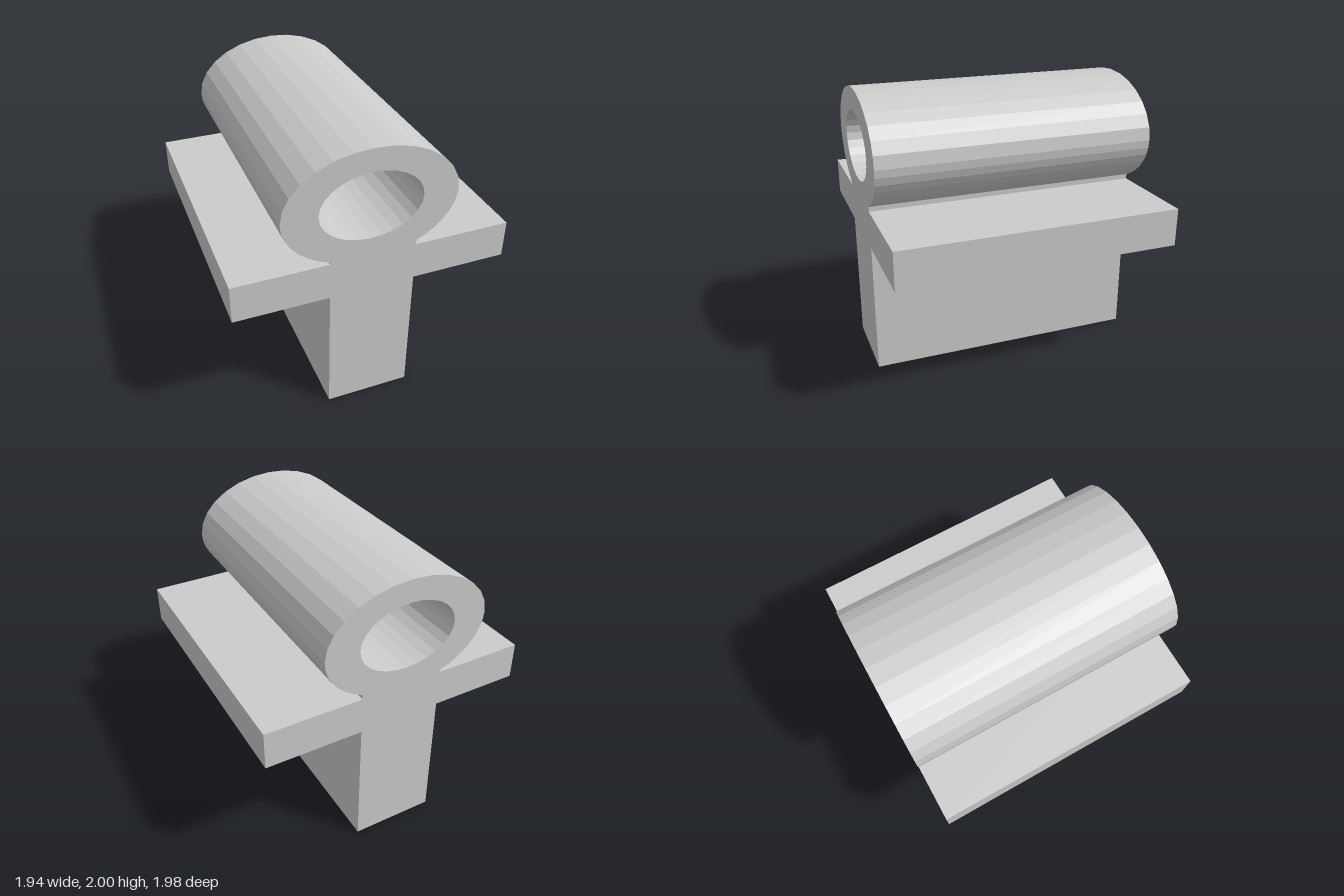
import * as THREE from 'three';

const DEPTH = 1.98;
const STEPS = 7; // straight facets per arc

// Points along an elliptical arc, angles in radians
function arc(cx, cy, rx, ry, from, to, steps = STEPS) {
  return Array.from({ length: steps + 1 }, (_, i) => {
    const a = from + ((to - from) * i) / steps;
    return new THREE.Vector2(cx + rx * Math.cos(a), cy + ry * Math.sin(a));
  });
}

export function createModel() {
  const group = new THREE.Group();
  group.name = 'loopedCross';

  const stemLeft = 0.283, stemRight = -0.318;
  const barLeft = 0.972, barRight = -0.972, barBottom = 0.952, barTop = 1.222;
  const cx = -0.042, cy = 1.596, rx = 0.598, ry = 0.404;

  // Angles where the ring meets the two sides of the neck
  const endLeft = -Math.acos((stemLeft - cx) / rx);
  const endRight = 2 * Math.PI - Math.acos((stemRight - cx) / rx);

  // Outline: stem, crossbar, neck and ring, counter-clockwise
  const corners = (list) => list.map(([x, y]) => new THREE.Vector2(x, y));
  const outline = new THREE.Shape([
    ...corners([[stemRight, 0], [stemLeft, 0], [stemLeft, barBottom],
      [barLeft, barBottom], [barLeft, barTop], [stemLeft, barTop]]),
    ...arc(cx, cy, rx, ry, endLeft, 0),
    ...arc(cx, cy, rx, ry, 0, Math.PI, STEPS * 2).slice(1),
    ...arc(cx, cy, rx, ry, Math.PI, endRight).slice(1),
    ...corners([[stemRight, barTop], [barRight, barTop],
      [barRight, barBottom], [stemRight, barBottom]]),
  ]);

  // Oval opening through the ring
  outline.holes.push(new THREE.Path(
    arc(-0.043, 1.597, 0.354, 0.241, 0, -2 * Math.PI, STEPS * 4).slice(0, -1)));

  const geometry = new THREE.ExtrudeGeometry(outline, { depth: DEPTH, bevelEnabled: false });
  geometry.translate(0, 0, -DEPTH / 2);

  const body = new THREE.Mesh(geometry,
    new THREE.MeshStandardMaterial({ color: 0xcccccc, flatShading: true }));
  body.name = 'crossBody';
  group.add(body);
  return group;
}
